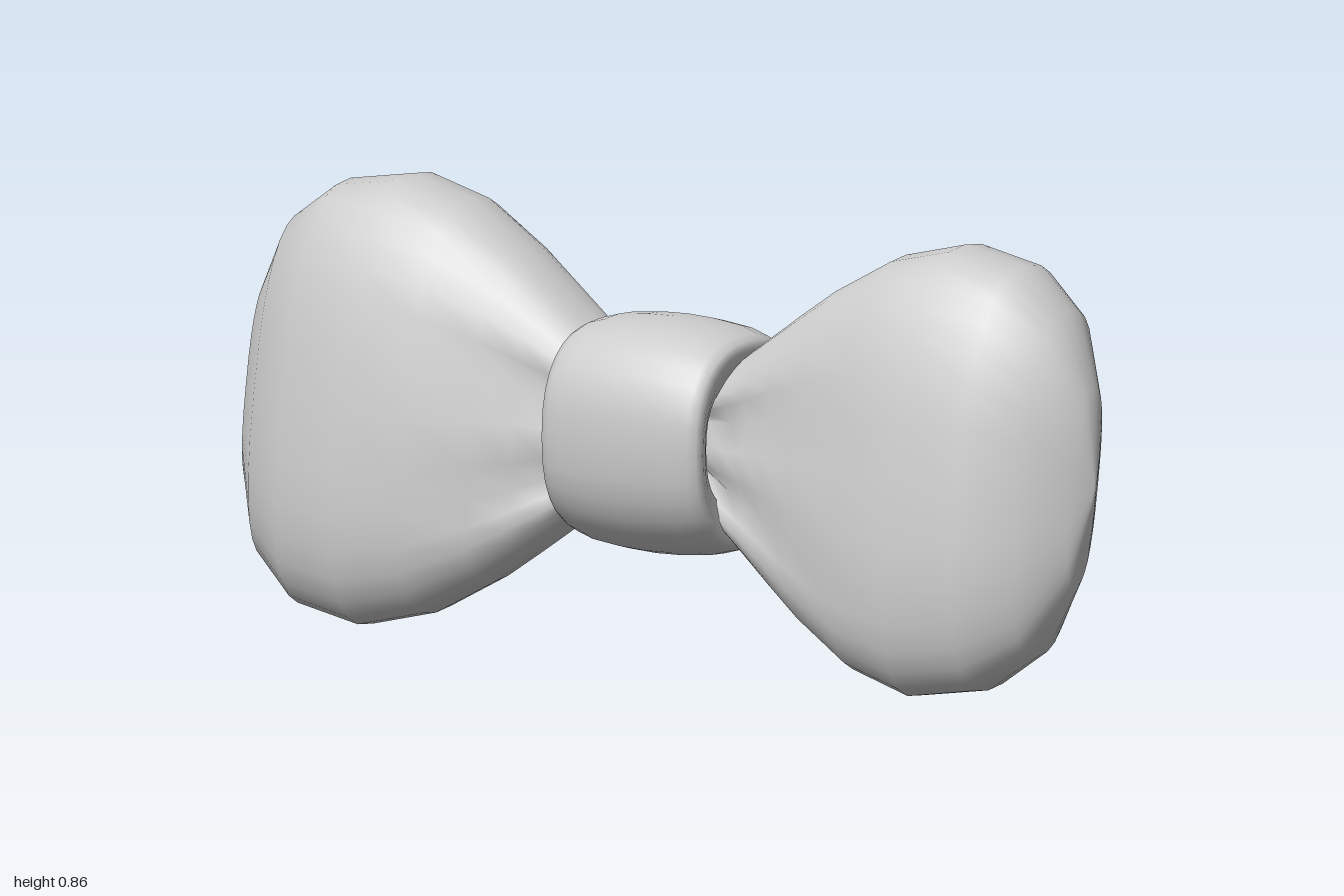
import * as THREE from 'three';

const MID_Y = 0.435;
const SIDES = 32;

// Skin a row of superellipse sections [x, halfHeight, halfDepth, centreZ], given in rising x.
function loft(stations, power, adjust = (x, u, z) => z) {
  const positions = [], index = [];
  const soften = (v) => Math.sign(v) * Math.abs(v) ** (2 / power);
  stations.forEach(([x, h, d, zc]) => {
    for (let j = 0; j < SIDES; j++) {
      const t = (j / SIDES) * Math.PI * 2;
      const u = soften(Math.sin(t)), w = soften(Math.cos(t));
      positions.push(x, MID_Y + h * u, adjust(x, u, zc + d * w, w, h));
    }
  });
  for (let i = 0; i < stations.length - 1; i++) {
    for (let j = 0; j < SIDES; j++) {
      const a = i * SIDES + j, c = i * SIDES + ((j + 1) % SIDES);
      index.push(a, a + SIDES, c, c, a + SIDES, c + SIDES);
    }
  }
  const geometry = new THREE.BufferGeometry();
  geometry.setAttribute('position', new THREE.Float32BufferAttribute(positions, 3));
  geometry.setIndex(index);
  geometry.computeVertexNormals();
  return geometry;
}

// Lean each section back at the top and pinch pleats into the front near the knot.
function leanAndPleat(x, u, z, w, h) {
  const fade = Math.max(0, 1 - (Math.abs(x) - 0.15) / 0.45) ** 1.5;
  const groove = (centre, width) => Math.exp(-(((u - centre) / width) ** 2));
  const pleat = 0.055 * groove(0.2, 0.2) + 0.06 * groove(-0.45, 0.2);
  return z - 0.16 * h * u - (w > 0 ? pleat * fade * w : 0);
}

export function createModel() {
  const model = new THREE.Group();
  model.name = 'bowTie';
  const material = new THREE.MeshStandardMaterial({ color: 0xcccccc });
  const add = (name, geometry) => {
    const mesh = new THREE.Mesh(geometry, material);
    mesh.name = name;
    model.add(mesh);
  };

  // Padded wings, pinched at the knot and swelling outward
  const wing = [
    [0.1, 0.13, 0.09, -0.015], [0.18, 0.175, 0.115, -0.015], [0.23, 0.213, 0.12, -0.013],
    [0.3, 0.265, 0.13, -0.01], [0.38, 0.322, 0.145, -0.008], [0.51, 0.395, 0.172, -0.005],
    [0.65, 0.43, 0.19, 0], [0.8, 0.405, 0.165, 0], [0.905, 0.33, 0.113, -0.004],
    [0.975, 0.19, 0.045, -0.008], [0.998, 0.03, 0.006, -0.01], [1, 0.001, 0.001, -0.01],
  ];
  const mirrored = wing.map(([x, ...rest]) => [-x, ...rest]).reverse();
  add('leftWing', loft(wing, 2.6, leanAndPleat));
  add('rightWing', loft(mirrored, 2.6, leanAndPleat));

  // Rounded band around the middle, its edges tucked in against the wings
  const edge = [[0.16, 0.55], [0.18, 0.7], [0.189, 0.8], [0.182, 0.87], [0.165, 0.91], [0.125, 0.96], [0.06, 0.99]];
  const band = [
    ...edge.map(([x, s]) => [-x, s]),
    [0, 1],
    ...edge.slice().reverse(),
  ].map(([x, s]) => [x, 0.23 * s, 0.205 * s, -0.01]);
  add('knot', loft(band, 2.4));

  return model;
}
